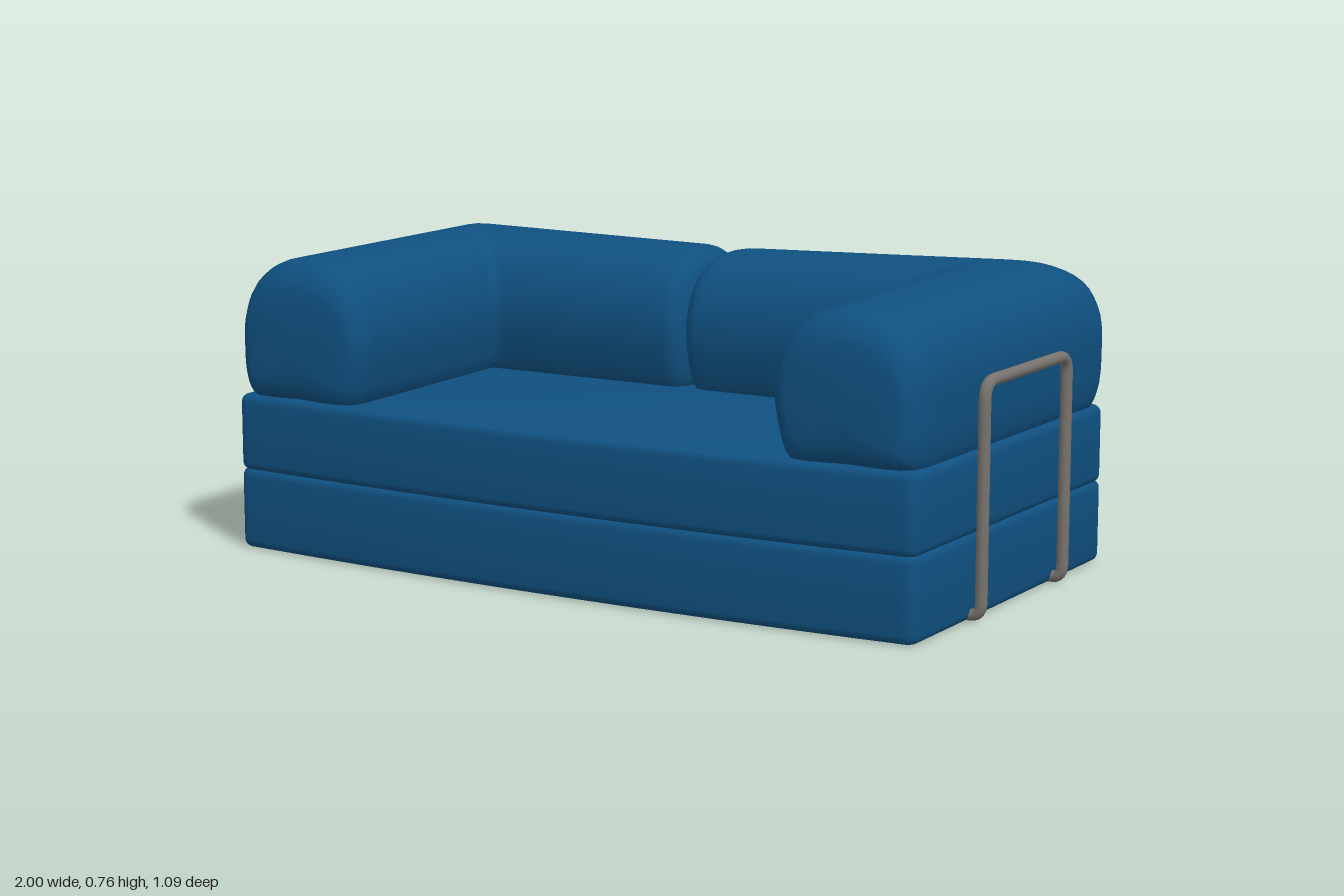
import * as THREE from 'three';
import { toCreasedNormals } from 'three/addons/utils/BufferGeometryUtils.js';

const lerp = THREE.MathUtils.lerp;

// Plump D-shaped cushion section: u from inner to outer side, v from bottom to top
const section = new THREE.CatmullRomCurve3(
  [[0.12, 0], [0.02, 0.25], [0, 0.55], [0.1, 0.82], [0.28, 0.96], [0.48, 1], [0.72, 0.97],
    [0.9, 0.85], [0.985, 0.65], [1, 0.42], [0.98, 0.12], [0.92, 0], [0.5, 0]]
    .map(([u, v]) => new THREE.Vector3(u, v, 0)), true).getPoints(48);

// L-shaped bolster swept from the arm front (s = 0) through the mitred corner (s = 1) to the seam (s = 2)
function bolsterGeometry(side, o) {
  const place = (u, v, s) => {
    const cornerX = o.innerBack + (o.outerBack - o.innerBack) * u;
    const cornerZ = -0.12 - 0.403 * u;
    let x, z, h;
    if (s <= 1) {
      x = lerp(o.innerFront + (o.outerFront - o.innerFront) * u, cornerX, s);
      z = lerp(0.52, cornerZ, s);
      h = lerp(o.heightFront, o.heightCorner, s);
    } else {
      x = lerp(cornerX, o.seam, s - 1);
      z = cornerZ;
      h = lerp(o.heightCorner, o.heightSeam, s - 1);
    }
    return [x * side, 0.385 + v * h, z];
  };

  // Stations along the sweep, each with its section scale
  const stations = [];
  const cap = (radius, across, start) => {
    const list = [{ d: -0.008, a: 0, b: 0 }, { d: -0.006, a: 0.45, b: 0.4 }];
    for (let i = 0; i <= 6; i++) {
      const t = (i / 6) * Math.PI / 2;
      const inset = radius * (1 - Math.sin(t)) / 0.2;
      list.push({ d: radius * (1 - Math.cos(t)), a: 1 - inset * across, b: 1 - inset });
    }
    return list.map(({ d, a, b }) => ({ s: start ? d / 0.85 : 2 - d / 0.8, a, b }));
  };
  stations.push(...cap(0.085, 0.6, true));
  for (const s of [0.2, 0.35, 0.5, 0.65, 0.8, 0.9, 0.95]) stations.push({ s, a: 1, b: 1 });
  stations.push({ s: 1, a: 1, b: 1, corner: 0.96 });
  for (const s of [1.05, 1.1, 1.2, 1.35, 1.5, 1.65, 1.8, 1.87]) stations.push({ s, a: 1, b: 1 });
  stations.push(...cap(0.07, 0.9, false).reverse());

  const positions = [], index = [], n = section.length - 1;
  for (const { s, a, b, corner = 1 } of stations) {
    for (let j = 0; j < n; j++) {
      const { x: u, y: v } = section[j];
      positions.push(...place((0.5 + (u - 0.5) * a) * corner, 0.35 + (v - 0.35) * b, s));
    }
  }
  for (let i = 0; i < stations.length - 1; i++) {
    for (let j = 0; j < n; j++) {
      const k = (j + 1) % n;
      const p = i * n + j, q = i * n + k, r = p + n, t = q + n;
      if (side > 0) index.push(p, q, r, q, t, r);
      else index.push(p, r, q, q, r, t);
    }
  }
  const g = new THREE.BufferGeometry();
  g.setAttribute('position', new THREE.Float32BufferAttribute(positions, 3));
  g.setIndex(index);
  g.computeVertexNormals();
  return g;
}

// Mattress slab with a gently bowed front and soft edges
function slabGeometry(bottom, top) {
  const bevel = 0.02;
  const x = 0.96 - bevel, back = 0.515 - bevel, front = 0.51 - bevel;
  const shape = new THREE.Shape();
  shape.moveTo(-x + 0.02, back);
  shape.lineTo(x - 0.02, back);
  shape.quadraticCurveTo(x, back, x, back - 0.02);
  shape.lineTo(x, -front + 0.015);
  shape.quadraticCurveTo(x, -front, x - 0.015, -front);
  shape.quadraticCurveTo(0, -front - 0.066, -x + 0.015, -front);
  shape.quadraticCurveTo(-x, -front, -x, -front + 0.015);
  shape.lineTo(-x, back - 0.02);
  shape.quadraticCurveTo(-x, back, -x + 0.02, back);
  const g = new THREE.ExtrudeGeometry(shape, {
    depth: top - bottom - 2 * bevel, bevelEnabled: true, bevelThickness: bevel,
    bevelSize: bevel, bevelSegments: 4, curveSegments: 16,
  });
  g.rotateX(-Math.PI / 2);
  g.translate(0, bottom + bevel, 0);
  return toCreasedNormals(g, 0.7);
}

// Bent tube hoop facing +z locally, with feet turned in under the seat
function hoopGeometry(half, out) {
  const corners = [[-half, 0.018, out - 0.05], [-half, 0.018, out], [-half, 0.563, out],
    [half, 0.563, out], [half, 0.018, out], [half, 0.018, out - 0.05]]
    .map((p) => new THREE.Vector3(...p));
  const path = new THREE.CurvePath();
  let from = corners[0];
  for (let i = 1; i < corners.length - 1; i++) {
    const c = corners[i];
    const r = c.y > 0.3 ? 0.045 : 0.03;
    const toward = (p) => c.clone().add(p.clone().sub(c).setLength(r));
    const a = toward(corners[i - 1]), b = toward(corners[i + 1]);
    path.add(new THREE.LineCurve3(from, a));
    path.add(new THREE.QuadraticBezierCurve3(a, c, b));
    from = b;
  }
  path.add(new THREE.LineCurve3(from, corners[corners.length - 1]));
  return new THREE.TubeGeometry(path, 200, 0.0145, 12, false);
}

export function createModel() {
  const fabric = new THREE.MeshStandardMaterial({ color: 0x0f5080 });
  fabric.name = 'blue fabric';
  const metal = new THREE.MeshStandardMaterial({ color: 0x77726d });
  metal.name = 'grey metal';

  const model = new THREE.Group();
  model.name = 'sofa';
  const add = (name, geometry, material) => {
    const mesh = new THREE.Mesh(geometry, material);
    mesh.name = name;
    model.add(mesh);
    return mesh;
  };

  // Two stacked seat mattresses
  add('lowerMattress', slabGeometry(0.003, 0.208), fabric);
  add('upperMattress', slabGeometry(0.203, 0.397), fabric);

  // Corner bolsters forming the arms and back
  add('leftBolster', bolsterGeometry(1, {
    innerFront: 0.585, outerFront: 0.962, innerBack: 0.55, outerBack: 0.965,
    heightFront: 0.36, heightCorner: 0.378, heightSeam: 0.352, seam: -0.042,
  }), fabric);
  add('rightBolster', bolsterGeometry(-1, {
    innerFront: 0.565, outerFront: 0.955, innerBack: 0.605, outerBack: 0.972,
    heightFront: 0.362, heightCorner: 0.365, heightSeam: 0.355, seam: 0.04,
  }), fabric);

  // Tubular retaining hoops
  add('leftHoop', hoopGeometry(0.222, 0.985), metal).rotation.y = Math.PI / 2;
  add('rightHoop', hoopGeometry(0.222, 0.985), metal).rotation.y = -Math.PI / 2;
  add('backHoop', hoopGeometry(0.54, 0.533), metal).rotation.y = Math.PI;

  return model;
}
